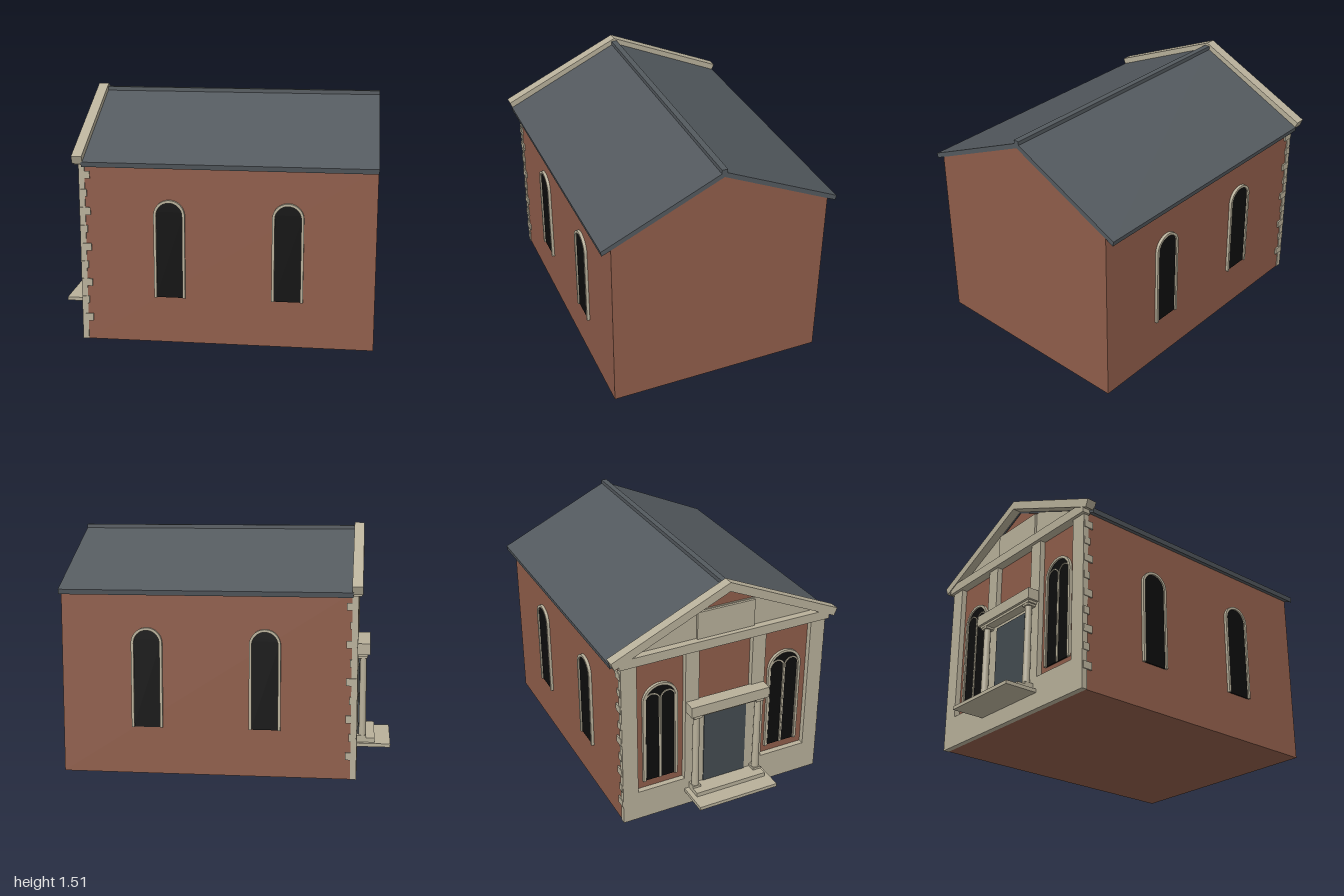
import * as THREE from 'three';

const mat = (name, color) => {
  const m = new THREE.MeshStandardMaterial({ color });
  m.name = name;
  return m;
};

export function createModel() {
  const model = new THREE.Group();
  model.name = 'gabledHall';
  const brick = mat('brick', 0x8f5d4a);
  const stone = mat('stone', 0xb8b09a);
  const slate = mat('slate', 0x53595e);
  const glass = mat('glass', 0x0d0d0d);
  const doorPaint = mat('doorPaint', 0x434b50);

  const add = (name, geo, material, parent = model) => {
    const mesh = new THREE.Mesh(geo, material);
    mesh.name = name;
    parent.add(mesh);
    return mesh;
  };
  // box given by its min and max on each axis
  const box = (name, x0, x1, y0, y1, z0, z1, material) =>
    add(name, new THREE.BoxGeometry(x1 - x0, y1 - y0, z1 - z0)
      .translate((x0 + x1) / 2, (y0 + y1) / 2, (z0 + z1) / 2), material);
  const extrude = (shape, depth) =>
    new THREE.ExtrudeGeometry(shape, { depth, bevelEnabled: false, curveSegments: 12 });
  const poly = (pts) => new THREE.Shape(pts.map(([a, b]) => new THREE.Vector2(a, b)));
  // profile in (z, y), swept along x from x0 up to x1
  const sweepX = (name, pts, x0, x1, material) =>
    add(name, extrude(poly(pts), x1 - x0).rotateY(-Math.PI / 2).translate(x1, 0, 0), material);

  // round-headed outline, w = half width
  const trace = (p, w, y0, spring) => {
    p.moveTo(-w, y0);
    p.lineTo(w, y0);
    p.lineTo(w, spring);
    p.absarc(0, spring, w, 0, Math.PI, false);
    p.closePath();
    return p;
  };
  // frame outline: an arch band open at the foot
  const archBand = (w, t, y0, spring) => {
    const s = new THREE.Shape();
    s.moveTo(w - t, y0);
    s.lineTo(w, y0);
    s.lineTo(w, spring);
    s.absarc(0, spring, w, 0, Math.PI, false);
    s.lineTo(-w, y0);
    s.lineTo(t - w, y0);
    s.lineTo(t - w, spring);
    s.absarc(0, spring, w - t, Math.PI, 0, true);
    s.closePath();
    return s;
  };
  // window facing local +z
  const windowUnit = (name, w, y0, top) => {
    const g = new THREE.Group();
    g.name = name;
    const spring = top - w;
    add('windowGlass', extrude(trace(new THREE.Shape(), w - 0.01, y0, spring), 0.008), glass, g);
    add('windowFrame', extrude(archBand(w, 0.016, y0, spring), 0.018), stone, g);
    model.add(g);
    return g;
  };

  // brick body with gables
  const W = 0.68;
  sweepX('brickBody', [[-W, 0], [W, 0], [W, 1.125], [0, 1.44], [-W, 1.125]], -0.755, 0.998, brick);

  // roof slopes and ridge
  sweepX('roof', [[-0.735, 1.1], [0, 1.44], [0.735, 1.1], [0.74, 1.13], [0, 1.472], [-0.74, 1.13]], -0.76, 1, slate);
  box('ridgeCap', -0.755, 1, 1.45, 1.488, -0.018, 0.018, slate);

  // side windows
  for (const side of [1, -1]) {
    for (const x of [-0.24, 0.475]) {
      const win = windowUnit('sideWindow', 0.095, 0.29, 0.9);
      win.position.set(x, 0, side * 0.68);
      if (side < 0) win.rotation.y = Math.PI;
    }
  }

  // quoins, alternately long and short, on both entrance corners
  for (let i = 0; i < 9; i++) {
    const y = 0.12 + i * 0.1125;
    for (const s of [1, -1]) {
      const z0 = s > 0 ? 0.66 : -0.69;
      box('quoin', -0.785, i % 2 ? -0.743 : -0.722, y, y + 0.045, z0, z0 + 0.03, stone);
    }
  }

  // entrance face: plinth, pilasters, entablature
  box('plinth', -0.79, -0.754, 0, 0.2, -0.685, 0.685, stone);
  for (const s of [1, -1]) {
    for (const [c, h] of [[0.635, 0.05], [0.225, 0.045]]) {
      box('pilaster', -0.79, -0.754, 0.19, 1.13, s * c - h, s * c + h, stone);
    }
  }
  box('entablature', -0.81, -0.754, 1.105, 1.165, -0.7, 0.7, stone);

  // pediment: raking cornice and panels
  sweepX('rakingCornice', [[-0.732, 1.118], [0, 1.45], [0.732, 1.118], [0.752, 1.166],
    [0, 1.507], [-0.752, 1.166]], -0.815, -0.752, stone);
  sweepX('pedimentPanel', [[-0.63, 1.16], [0.63, 1.16], [0.22, 1.345], [-0.22, 1.345]], -0.765, -0.75, stone);
  box('pedimentCentre', -0.78, -0.76, 1.16, 1.34, -0.19, 0.19, stone);

  // paired-light windows beside the entrance
  for (const s of [1, -1]) {
    const win = windowUnit('entranceWindow', 0.115, 0.25, 0.93);
    win.position.set(-0.755, 0, s * 0.425);
    win.rotation.y = -Math.PI / 2;
    for (const c of [-1, 1]) {
      add('windowLight', extrude(archBand(0.05, 0.007, 0.25, 0.82), 0.013)
        .translate(c * 0.051, 0, 0), stone, win);
    }
  }

  // doorway
  box('doorSurround', -0.793, -0.754, 0.15, 0.7, -0.19, 0.19, stone);
  box('door', -0.799, -0.79, 0.15, 0.655, -0.145, 0.145, doorPaint);

  // portico: columns, architrave, cornice
  for (const s of [1, -1]) {
    const z = s * 0.213;
    add('column', new THREE.CylinderGeometry(0.02, 0.023, 0.53, 20).translate(-0.822, 0.41, z), stone);
    box('columnBase', -0.848, -0.79, 0.148, 0.165, z - 0.027, z + 0.027, stone);
    box('columnCapital', -0.848, -0.79, 0.662, 0.692, z - 0.027, z + 0.027, stone);
  }
  box('porticoArchitrave', -0.85, -0.78, 0.675, 0.695, -0.25, 0.25, stone);
  box('porticoCornice', -0.865, -0.78, 0.69, 0.76, -0.265, 0.265, stone);

  // entrance steps
  box('lowerStep', -1, -0.78, 0.1, 0.122, -0.27, 0.27, stone);
  box('upperStep', -0.9, -0.78, 0.12, 0.15, -0.24, 0.24, stone);

  return model;
}
